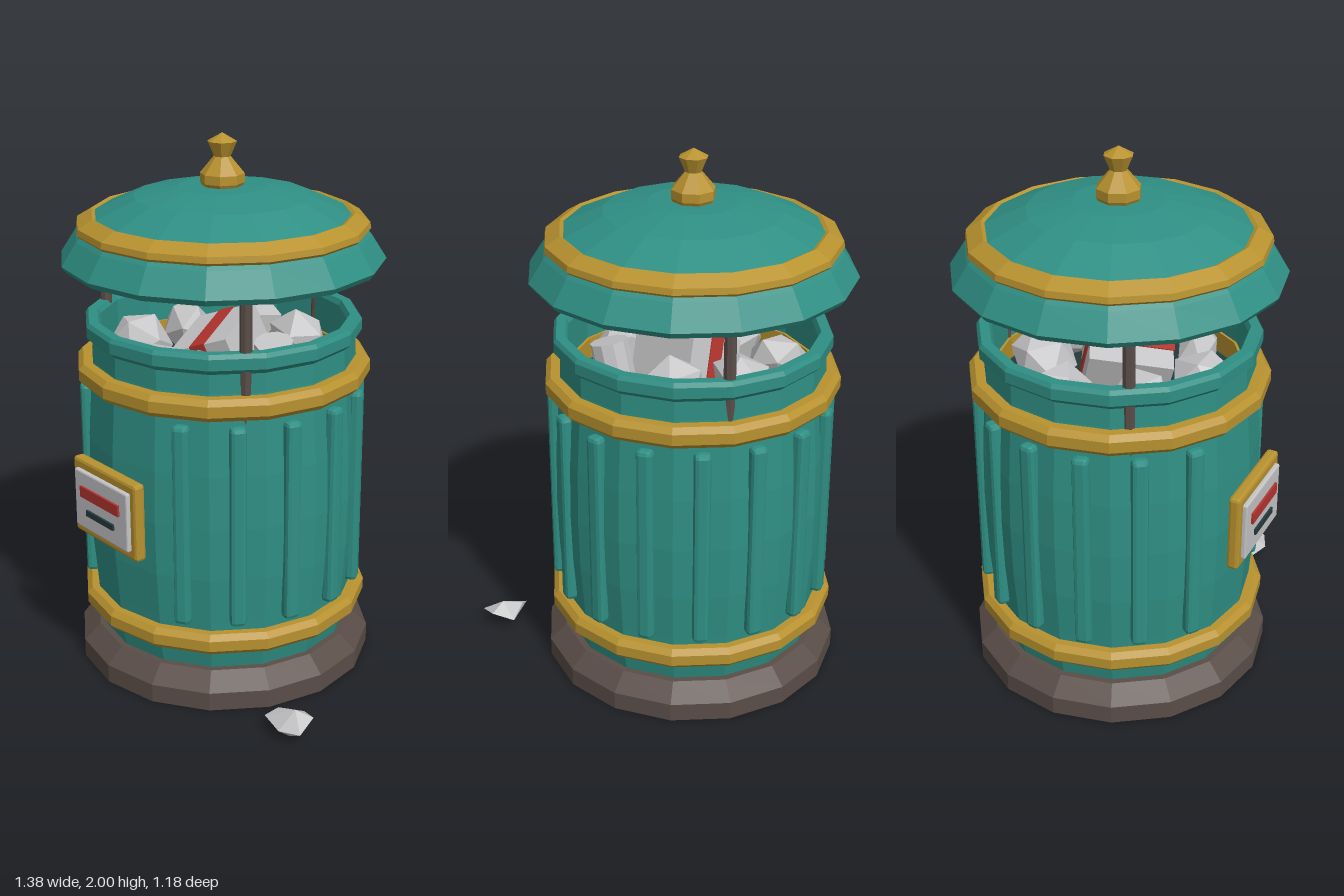
import * as THREE from 'three';
import { RoundedBoxGeometry } from 'three/addons/geometries/RoundedBoxGeometry.js';
import { ConvexGeometry } from 'three/addons/geometries/ConvexGeometry.js';

const SIDES = 16;

function material(name, color) {
  const m = new THREE.MeshStandardMaterial({ color, flatShading: true });
  m.name = name;
  return m;
}

export function createModel() {
  const green = material('green paint', 0x2f8f84);
  const gold = material('gold trim', 0xb8922f);
  const brown = material('brown iron', 0x5a4d48);
  const pale = material('pale paper', 0xc4c4c6);
  const red = material('red print', 0xb4342e);
  const dark = material('dark lining', 0x243a3c);

  const model = new THREE.Group();
  model.name = 'litterBin';
  const bin = new THREE.Group();
  bin.name = 'bin';
  bin.position.x = -0.1;
  model.add(bin);

  function add(name, geometry, mat, x = 0, y = 0, z = 0, parent = bin) {
    const mesh = new THREE.Mesh(geometry, mat);
    mesh.name = name;
    mesh.position.set(x, y, z);
    parent.add(mesh);
    return mesh;
  }
  // Profiles are [radius, height] pairs, running up the outside
  function turned(name, profile, mat, sides = SIDES) {
    const points = profile.map(([r, y]) => new THREE.Vector2(r, y));
    return add(name, new THREE.LatheGeometry(points, sides), mat);
  }

  // Plinth and hollow drum
  turned('base', [[0, 0], [0.563, 0], [0.563, 0.07], [0.5, 0.13], [0, 0.13]], brown);
  turned('drum', [
    [0.475, 0.125], [0.492, 0.21], [0.499, 0.32], [0.513, 0.5], [0.518, 0.7], [0.513, 0.9],
    [0.499, 1.1], [0.49, 1.2], [0.488, 1.27], [0.51, 1.29], [0.51, 1.33], [0.5, 1.345],
    [0.465, 1.345], [0.455, 1.325], [0.455, 1.08],
  ], green);
  turned('drumFloor', [[0.46, 1.1], [0, 1.1]], dark);

  // Gold hoops, which also show on the inside wall
  for (const [name, y] of [['lowerHoop', 0.252], ['upperHoop', 1.153]]) {
    turned(name, [
      [0.445, y - 0.04], [0.525, y - 0.04], [0.544, y - 0.02], [0.544, y + 0.02],
      [0.525, y + 0.04], [0.445, y + 0.04], [0.445, y - 0.04],
    ], gold);
  }

  // Upright ribs, leaving the front two faces free for the plate
  const ribShape = new RoundedBoxGeometry(0.06, 0.765, 0.05, 1, 0.016);
  for (let i = 1; i < SIDES - 1; i++) {
    const a = ((i + 0.5) / SIDES) * Math.PI * 2;
    const rib = add('rib', ribShape, green, Math.sin(a) * 0.507, 0.705, Math.cos(a) * 0.507);
    rib.rotation.y = a;
  }

  // Front plate
  const plate = new THREE.Group();
  plate.name = 'frontPlate';
  plate.position.set(0, 0.714, 0);
  bin.add(plate);
  add('plateFrame', new RoundedBoxGeometry(0.38, 0.295, 0.045, 1, 0.012), gold, 0, 0, 0.533, plate);
  add('platePanel', new RoundedBoxGeometry(0.32, 0.225, 0.03, 1, 0.006), pale, 0, 0, 0.557, plate);
  add('plateRedBar', new THREE.BoxGeometry(0.233, 0.042, 0.009), red, 0, 0.036, 0.576, plate);
  add('plateSlot', new THREE.BoxGeometry(0.165, 0.022, 0.009), dark, 0, -0.04, 0.576, plate);

  // Three posts carrying the lid
  for (let i = 0; i < 3; i++) {
    const a = Math.PI + (i * Math.PI * 2) / 3;
    add('post', new THREE.CylinderGeometry(0.022, 0.022, 0.48, 8), brown,
      Math.sin(a) * 0.47, 1.33, Math.cos(a) * 0.47);
  }

  // Lid, its hoop, underside and finial
  turned('lid', [
    [0.565, 1.55], [0.575, 1.538], [0.59, 1.56], [0.535, 1.645], [0.475, 1.71],
    [0.32, 1.78], [0.16, 1.812], [0, 1.815],
  ], green);
  turned('lidUnderside', [[0, 1.548], [0.572, 1.548]], dark);
  turned('lidHoop', [
    [0.48, 1.65], [0.515, 1.65], [0.532, 1.668], [0.528, 1.69], [0.475, 1.722], [0.45, 1.71],
  ], gold);
  turned('finial', [
    [0.066, 1.8], [0.08, 1.825], [0.08, 1.857], [0.03, 1.917], [0.053, 1.97], [0, 2],
  ], gold, 8);

  // Rubbish: a tilted carton with a red band, a can and crumpled paper
  const carton = new THREE.Group();
  carton.name = 'carton';
  carton.position.set(0.02, 1.2, 0.02);
  carton.rotation.set(0.2, 0.5, 0.25);
  bin.add(carton);
  add('cartonBox', new THREE.BoxGeometry(0.24, 0.2, 0.3), pale, 0, 0, 0, carton);
  add('cartonBand', new THREE.BoxGeometry(0.06, 0.208, 0.308), red, 0, 0, 0, carton);
  const can = add('can', new THREE.CylinderGeometry(0.07, 0.07, 0.2, 10), pale, 0.29, 1.21, 0.0);
  can.rotation.set(0.2, 0, -0.15);
  const paperSpots = [
    [0.0, 1.2, 0.33, 0.12], [0.2, 1.2, 0.22, 0.1], [-0.24, 1.2, 0.2, 0.12],
    [-0.31, 1.2, -0.07, 0.11], [-0.12, 1.22, -0.24, 0.12], [0.14, 1.22, -0.25, 0.12],
  ];
  paperSpots.forEach(([x, y, z, r], i) => {
    const paper = add('crumpledPaper', new THREE.IcosahedronGeometry(r, 0), pale, x, y, z);
    paper.scale.set(1, 0.8, 1.1);
    paper.rotation.set(i, i * 1.7, i * 0.6);
  });

  // Paper scrap on the ground beside the bin
  const scrap = [
    [0.58, 0.05, 0.19], [0.66, 0.075, 0.22], [0.685, 0.05, 0.306], [0.61, 0.045, 0.34],
    [0.507, 0.05, 0.315], [0.53, 0.075, 0.27], [0.61, 0.1, 0.262], [0.57, 0.012, 0.25], [0.61, 0.005, 0.29],
  ].map((p) => new THREE.Vector3(...p));
  add('groundScrap', new ConvexGeometry(scrap), pale, 0, 0, 0, model);

  return model;
}
